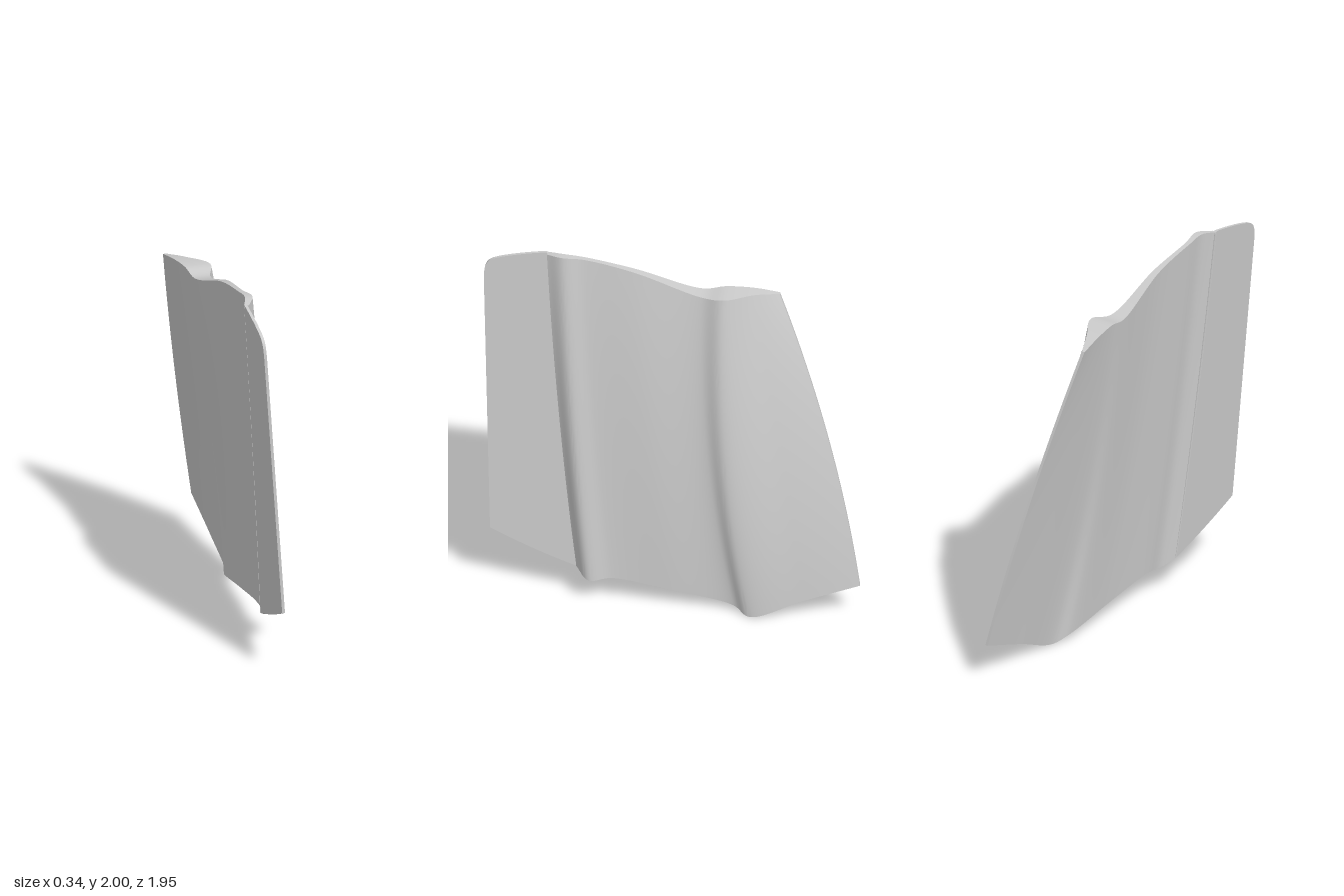
import * as THREE from 'three';
import { toCreasedNormals } from 'three/addons/utils/BufferGeometryUtils.js';

// Ribs running up the panel, from front crease to rear edge:
// bottom [z, y, outer x, inner x], top [same], bow at mid height [z, outer x]
const RIBS = [
  { b: [0.49, 0.18, 0.06, 0.045], t: [0.652, 1.99, -0.06, -0.088], bow: [0.015, 0] },
  { b: [0.42, 0.14, 0.13, 0.09], t: [0.57, 2.0, -0.02, -0.06], bow: [0.015, 0.01] },
  { b: [0.30, 0.15, 0.11, 0.085], t: [0.46, 1.985, -0.038, -0.065], bow: [0.015, 0.015] },
  { b: [0.0, 0.10, 0.113, 0.085], t: [0.2, 1.925, -0.037, -0.075], bow: [0.02, 0.025] },
  { b: [-0.32, 0.035, 0.12, 0.09], t: [-0.14, 1.80, -0.035, -0.12], bow: [0.05, 0.03] },
  { b: [-0.41, 0.0, 0.168, 0.13], t: [-0.26, 1.812, 0.0, -0.135], bow: [0.05, 0.035] },
  { b: [-0.68, 0.1, 0.145, 0.12], t: [-0.41, 1.797, -0.09, -0.157], bow: [0.0, 0.018] },
  { b: [-0.97, 0.2, 0.122, 0.107], t: [-0.53, 1.77, -0.155, -0.172], bow: [-0.045, 0] },
];

// Smooth cross-section of one face at height fraction v
function sectionRow(v, inner, steps) {
  const bulge = 4 * v * (1 - v);
  const points = RIBS.map(({ b, t, bow }) => {
    const mix = (k) => THREE.MathUtils.lerp(b[k], t[k], v);
    const x = inner ? mix(3) : mix(2) + bow[1] * bulge;
    return new THREE.Vector3(x, mix(1), mix(0) + bow[0] * bulge);
  });
  const curve = new THREE.CatmullRomCurve3(points, false, 'centripetal');
  return Array.from({ length: steps + 1 }, (_, i) => curve.getPoint(i / steps));
}

// Closed loft of the ribbed panel
function panelGeometry(steps = 84, rows = 32) {
  const pos = [];
  const quad = (a, b, c, d) => {
    for (const p of [a, b, c, a, c, d]) pos.push(p.x, p.y, p.z);
  };
  const loops = [];
  for (let j = 0; j <= rows; j++) {
    const outer = sectionRow(j / rows, false, steps);
    const inner = sectionRow(j / rows, true, steps);
    loops.push([...outer, ...inner.reverse()]);
  }
  const n = loops[0].length;
  for (let j = 0; j < rows; j++) {
    for (let i = 0; i < n; i++) {
      const k = (i + 1) % n;
      quad(loops[j][i], loops[j][k], loops[j + 1][k], loops[j + 1][i]);
    }
  }
  // Top and bottom edges
  const top = loops[rows], bottom = loops[0];
  for (let i = 0; i < steps; i++) {
    const o = n - 1 - i;
    quad(top[i], top[i + 1], top[o - 1], top[o]);
    quad(bottom[o], bottom[o - 1], bottom[i + 1], bottom[i]);
  }
  const geo = new THREE.BufferGeometry();
  geo.setAttribute('position', new THREE.Float32BufferAttribute(pos, 3));
  return toCreasedNormals(geo, 0.6);
}

// Flat flap along the front crease, drawn in (z, y) and leaned with height
function flapGeometry() {
  const shape = new THREE.Shape();
  shape.moveTo(0.485, 0.18);
  shape.quadraticCurveTo(0.7, 0.255, 0.932, 0.375);
  shape.lineTo(0.975, 1.82);
  shape.bezierCurveTo(0.977, 1.93, 0.95, 1.935, 0.88, 1.955);
  shape.quadraticCurveTo(0.78, 1.98, 0.655, 1.995);
  shape.lineTo(0.64, 1.985);
  shape.quadraticCurveTo(0.59, 1.08, 0.485, 0.18);
  const geo = new THREE.ExtrudeGeometry(shape, { depth: 0.015, bevelEnabled: false, curveSegments: 16 });
  geo.rotateY(-Math.PI / 2);
  const p = geo.attributes.position;
  for (let i = 0; i < p.count; i++) {
    p.setX(i, p.getX(i) - 0.073 + (2 - p.getY(i)) * 0.074);
  }
  return toCreasedNormals(geo, 0.5);
}

export function createModel() {
  const group = new THREE.Group();
  group.name = 'ribbedPanel';
  const material = new THREE.MeshStandardMaterial({ color: 0xcccccc });
  const add = (name, geometry) => {
    const mesh = new THREE.Mesh(geometry, material);
    mesh.name = name;
    group.add(mesh);
  };
  add('mainPanel', panelGeometry());
  add('frontFlap', flapGeometry());
  return group;
}
